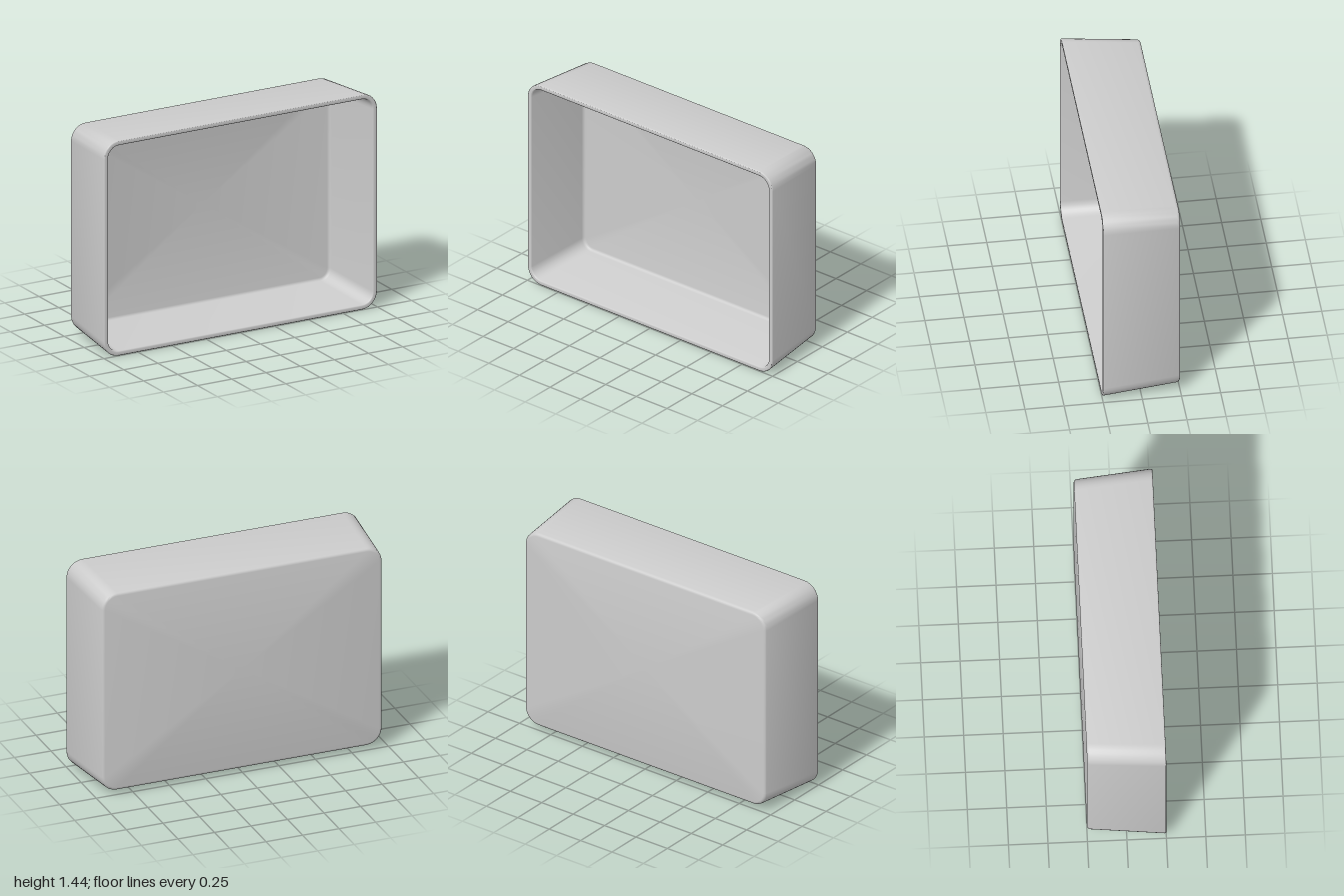
import * as THREE from 'three';
import { toCreasedNormals } from 'three/addons/utils/BufferGeometryUtils.js';

const HALF_W = 1, HALF_H = 0.72, HALF_D = 0.25;
const CORNER = 0.11, WALL = 0.032, FLOOR_Z = -0.23, TAPER = 0.042;
const CORNER_STEPS = 8;

// Rounded rectangle at depth z, shrunk by inset and tapered toward the back
function ring(inset, z) {
  const k = 1 - TAPER * (HALF_D - z) / (2 * HALF_D);
  const r = CORNER - inset;
  const cx = HALF_W - CORNER, cy = HALF_H - CORNER;
  const points = [];
  [[1, 1], [-1, 1], [-1, -1], [1, -1]].forEach(([sx, sy], q) => {
    for (let i = 0; i <= CORNER_STEPS; i++) {
      const a = (q + i / CORNER_STEPS) * Math.PI / 2;
      points.push([(sx * cx + r * Math.cos(a)) * k, (sy * cy + r * Math.sin(a)) * k, z]);
    }
  });
  return points;
}

// Rings along a rounded edge of the wall section, angles in degrees
function edge(inset, z, radius, from, to, steps) {
  return Array.from({ length: steps + 1 }, (_, i) => {
    const a = THREE.MathUtils.degToRad(from + (to - from) * i / steps);
    return ring(inset - radius * Math.cos(a), z + radius * Math.sin(a));
  });
}

function trayGeometry() {
  const b = 0.008, f = 0.02;
  const rings = [
    ...edge(f, -HALF_D + f, f, -90, 0, 4),              // outer back edge
    ...edge(b, HALF_D - b, b, 0, 90, 3),                // outer rim edge
    ...edge(WALL - b, HALF_D - b, b, 90, 180, 3),       // inner rim edge
    ...edge(WALL + f, FLOOR_Z + f, f, 0, -90, 4),       // inner floor fillet
  ];
  const n = rings[0].length;
  const positions = [];
  const tri = (...corners) => corners.forEach((p) => positions.push(...p));

  for (let j = 0; j < n; j++) {
    const m = (j + 1) % n;
    for (let i = 0; i < rings.length - 1; i++) {
      const [lo, hi] = [rings[i], rings[i + 1]];
      tri(lo[j], lo[m], hi[m]);
      tri(lo[j], hi[m], hi[j]);
    }
    // Back panel and inner floor
    const last = rings[rings.length - 1];
    tri([0, 0, -HALF_D], rings[0][m], rings[0][j]);
    tri([0, 0, FLOOR_Z], last[j], last[m]);
  }

  const geometry = new THREE.BufferGeometry();
  geometry.setAttribute('position', new THREE.Float32BufferAttribute(positions, 3));
  return toCreasedNormals(geometry, 0.6);
}

export function createModel() {
  const group = new THREE.Group();
  group.name = 'openTray';
  const tray = new THREE.Mesh(trayGeometry(), new THREE.MeshStandardMaterial({ color: 0xcccccc }));
  tray.name = 'trayShell';
  tray.position.y = HALF_H;
  group.add(tray);
  return group;
}
